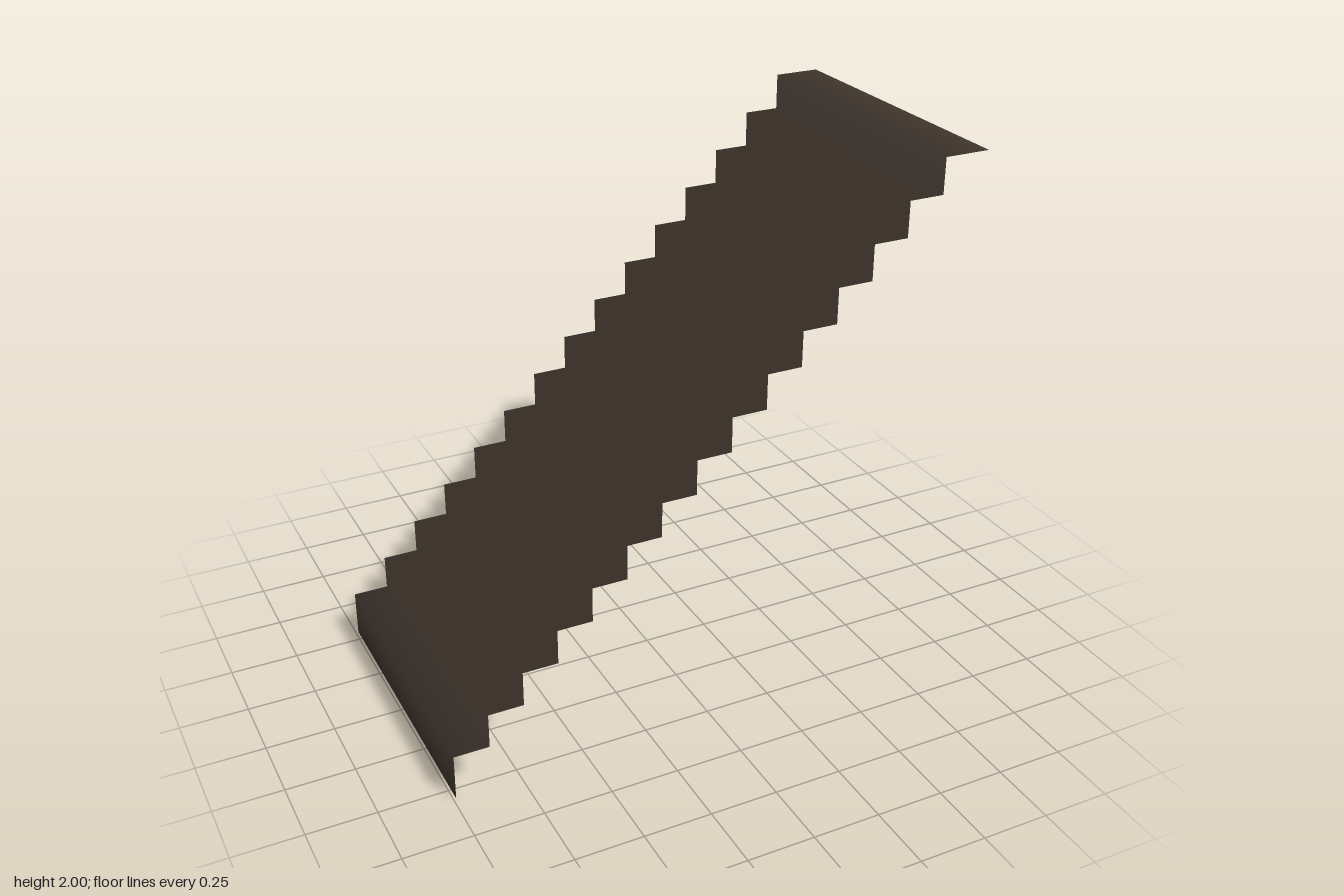
import * as THREE from 'three';

const STEPS = 15;
const HALF_WIDTH = 0.55;
const TREAD = 0.1295, TOP_TREAD = 0.17;
const RISE = 0.1304, FIRST_RISE = 0.1744;

// Side outline of the flight in x and y, climbing towards +x
function stairProfile() {
  let x = -0.99, y = 0;
  const points = [new THREE.Vector2(x, y)];
  for (let i = 0; i < STEPS; i++) {
    y += i === 0 ? FIRST_RISE : RISE;
    points.push(new THREE.Vector2(x, y));
    x += i === STEPS - 1 ? TOP_TREAD : TREAD;
    points.push(new THREE.Vector2(x, y));
  }
  return points;
}

// Folded sheet across z, with normals averaged over neighbouring faces
function foldedSheet(points, halfWidth) {
  const position = [], normal = [], index = [];
  const last = points.length - 1;
  points.forEach((p, i) => {
    const n = new THREE.Vector2();
    const before = points[Math.max(i - 1, 0)], after = points[Math.min(i + 1, last)];
    for (const [a, b] of [[before, p], [p, after]]) n.add(new THREE.Vector2(a.y - b.y, b.x - a.x));
    n.normalize();
    for (const z of [halfWidth, -halfWidth]) {
      position.push(p.x, p.y, z);
      normal.push(n.x, n.y, 0);
    }
    if (i < last) {
      const k = i * 2;
      index.push(k, k + 2, k + 3, k, k + 3, k + 1);
    }
  });
  const geometry = new THREE.BufferGeometry();
  geometry.setAttribute('position', new THREE.Float32BufferAttribute(position, 3));
  geometry.setAttribute('normal', new THREE.Float32BufferAttribute(normal, 3));
  geometry.setIndex(index);
  return geometry;
}

export function createModel() {
  const group = new THREE.Group();
  group.name = 'staircase';

  const darkWood = new THREE.MeshStandardMaterial({ color: 0x40362e, side: THREE.DoubleSide });
  darkWood.name = 'darkWood';

  // Treads and risers in one continuous thin sheet
  const flight = new THREE.Mesh(foldedSheet(stairProfile(), HALF_WIDTH), darkWood);
  flight.name = 'treadsAndRisers';
  group.add(flight);
  return group;
}
